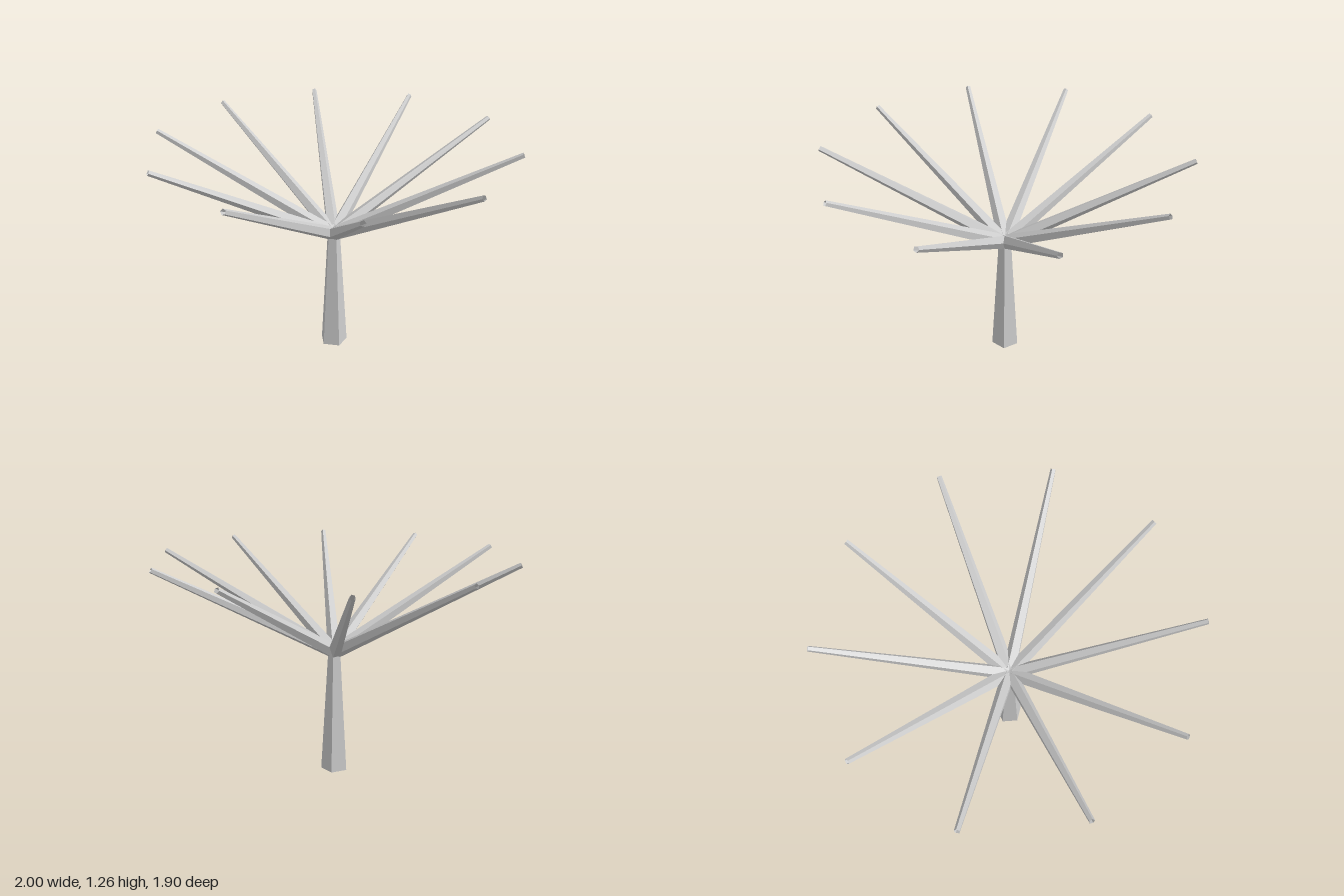
import * as THREE from 'three';

const SIDES = 5;
const HUB_Y = 0.713;

// Open five-sided tapered tube rising from its origin, one corner facing back
function taperedTube(bottomRadius, topRadius, length) {
  const geometry = new THREE.CylinderGeometry(
    topRadius, bottomRadius, length, SIDES, 1, true, Math.PI);
  return geometry.translate(0, length / 2, 0);
}

export function createModel() {
  const model = new THREE.Group();
  model.name = 'bareTree';

  const bark = new THREE.MeshStandardMaterial({ color: 0xcccccc });
  bark.name = 'pale grey bark';
  bark.flatShading = true;
  bark.side = THREE.DoubleSide;

  // Trunk
  const trunk = new THREE.Mesh(taperedTube(0.08, 0.037, HUB_Y), bark);
  trunk.name = 'trunk';
  model.add(trunk);

  // Ring of ten branches fanning up and out from the trunk top
  const branches = new THREE.Group();
  branches.name = 'branches';
  branches.position.y = HUB_Y;
  const branchGeometry = taperedTube(0.04, 0.015, 1.13);
  const up = new THREE.Vector3(0, 1, 0);
  const rise = THREE.MathUtils.degToRad(28.5);
  const count = 10;
  for (let i = 0; i < count; i++) {
    const turn = (i / count) * Math.PI * 2;
    const direction = new THREE.Vector3(
      Math.cos(rise) * Math.cos(turn), Math.sin(rise), Math.cos(rise) * Math.sin(turn));
    const branch = new THREE.Mesh(branchGeometry, bark);
    branch.name = `branch${i + 1}`;
    branch.quaternion.setFromUnitVectors(up, direction);
    branches.add(branch);
  }
  model.add(branches);

  return model;
}
